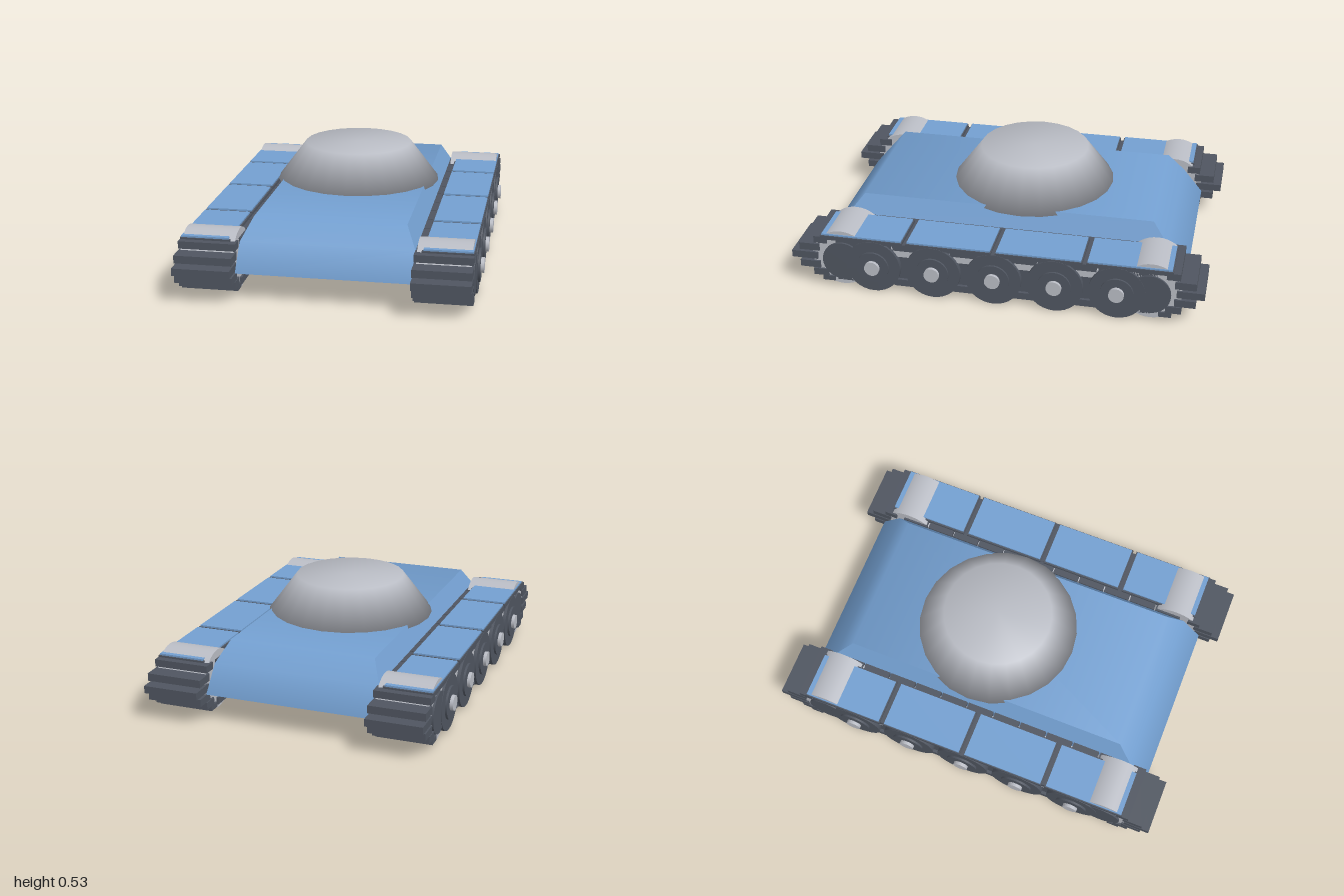
import * as THREE from 'three';

const mat = (name, color) => {
  const m = new THREE.MeshStandardMaterial({ color });
  m.name = name;
  return m;
};

export function createModel() {
  const blue = mat('blue paint', 0x739fd0);
  const grey = mat('light grey metal', 0xb9bcc4);
  const dark = mat('dark track metal', 0x4f5560);
  const model = new THREE.Group();
  model.name = 'tank';

  const add = (parent, name, geo, material) => {
    const m = new THREE.Mesh(geo, material);
    m.name = name;
    parent.add(m);
    return m;
  };
  // box from min/max ranges; x is mirrored by s
  const box = (parent, name, material, s, x0, x1, y0, y1, z0, z1) => {
    const g = new THREE.BoxGeometry(x1 - x0, y1 - y0, z1 - z0);
    g.translate(s * (x0 + x1) / 2, (y0 + y1) / 2, (z0 + z1) / 2);
    return add(parent, name, g, material);
  };
  // cylinder lying along x
  const roller = (parent, name, material, s, x0, x1, r, y, z, seg = 32) => {
    const g = new THREE.CylinderGeometry(r, r, x1 - x0, seg);
    g.rotateZ(Math.PI / 2);
    g.translate(s * (x0 + x1) / 2, y, z);
    return add(parent, name, g, material);
  };

  // hull cross-sections from front to back: half width, y, z, normal tilt in degrees
  const rows = [
    [0.41, 0.14, 0.9, 75], [0.41, 0.26, 0.8, 48], [0.36, 0.36, 0.72, 26],
    [0.36, 0.36, -0.72, -26], [0.41, 0.26, -0.8, -48], [0.41, 0.14, -0.9, -75],
  ];
  const pos = [], nor = [], idx = [];
  rows.forEach(([w, y, z, tilt], i) => {
    const a = THREE.MathUtils.degToRad(tilt);
    pos.push(-w, y, z, w, y, z);
    for (let k = 0; k < 2; k++) nor.push(0, Math.cos(a), Math.sin(a));
    const b = i * 2;
    if (i < 5) idx.push(b, b + 1, b + 3, b, b + 3, b + 2);
  });
  const deck = new THREE.BufferGeometry();
  deck.setAttribute('position', new THREE.Float32BufferAttribute(pos, 3));
  deck.setAttribute('normal', new THREE.Float32BufferAttribute(nor, 3));
  deck.setIndex(idx);
  add(model, 'hullDeck', deck, blue);

  // flat hull sides and floor
  const flat = [];
  const corner = (i, s) => [s * rows[i][0], rows[i][1], rows[i][2]];
  const quad = (a, b, c, d) => [a, b, c, a, c, d].forEach(p => flat.push(...p));
  for (const [a, b, c, d] of [[0, 5, 4, 1], [1, 4, 3, 2]]) {
    quad(corner(a, 1), corner(b, 1), corner(c, 1), corner(d, 1));
    quad(corner(d, -1), corner(c, -1), corner(b, -1), corner(a, -1));
  }
  quad(corner(0, 1), corner(0, -1), corner(5, -1), corner(5, 1));
  const shell = new THREE.BufferGeometry();
  shell.setAttribute('position', new THREE.Float32BufferAttribute(flat, 3));
  shell.computeVertexNormals();
  add(model, 'hullSidesAndFloor', shell, blue);

  // turret with soft shading over its rim
  const turretProfile = [[0, 0.345], [0.413, 0.345], [0.27, 0.535], [0, 0.535]]
    .map(([r, y]) => new THREE.Vector2(r, y));
  add(model, 'turret', new THREE.LatheGeometry(turretProfile, 24), grey).position.z = -0.07;

  for (const s of [1, -1]) {
    const side = new THREE.Group();
    side.name = s > 0 ? 'leftTrack' : 'rightTrack';
    model.add(side);

    // track body
    box(side, 'trackCore', dark, s, 0.425, 0.655, 0.06, 0.2, -0.78, 0.78);
    box(side, 'trackUpperBand', grey, s, 0.425, 0.665, 0.2, 0.245, -0.78, 0.78);

    // upper and lower runs of pads
    for (let i = -5; i <= 5; i++) {
      const z = i * 0.142;
      box(side, 'upperPad', dark, s, 0.41, 0.67, 0.235, 0.27, z - 0.067, z + 0.067);
      box(side, 'lowerPad', dark, s, 0.41, 0.67, 0.04, 0.075, z - 0.067, z + 0.067);
    }

    for (const e of [1, -1]) {
      // end rollers
      roller(side, 'endRoller', grey, s, 0.42, 0.67, 0.145, 0.165, e * 0.75, 40);
      roller(side, 'endRollerDisc', dark, s, 0.6, 0.68, 0.1, 0.15, e * 0.745);
      // pads wrapped round the ends: y range, inner and outer z
      for (const [y0, y1, z0, z1] of [
        [0.24, 0.275, 0.82, 0.885], [0.195, 0.232, 0.86, 0.96], [0.148, 0.184, 0.87, 1.0],
        [0.1, 0.136, 0.86, 0.96], [0.06, 0.095, 0.82, 0.895], [0.035, 0.06, 0.79, 0.85],
      ]) {
        const [a, b] = e > 0 ? [z0, z1] : [-z1, -z0];
        box(side, 'endPad', dark, s, 0.41, 0.68, y0, y1, a, b);
      }
    }

    // road wheels
    for (let i = -2; i <= 2; i++) {
      const wheel = new THREE.Group();
      wheel.name = 'roadWheel';
      side.add(wheel);
      const z = i * 0.296;
      roller(wheel, 'tyre', dark, s, 0.45, 0.682, 0.135, 0.14, z);
      roller(wheel, 'wheelDisc', dark, s, 0.68, 0.692, 0.08, 0.14, z);
      roller(wheel, 'hubCap', grey, s, 0.69, 0.708, 0.037, 0.14, z, 20);
    }

    // fender panels with dark frames
    for (const [z0, z1] of [[-0.845, -0.45], [-0.42, -0.015], [0.015, 0.42], [0.45, 0.845]]) {
      box(side, 'fenderFrame', dark, s, 0.442, 0.68, 0.262, 0.283, z0 - 0.006, z1 + 0.006);
      box(side, 'fenderPanel', blue, s, 0.45, 0.675, 0.283, 0.291, z0, z1);
    }
  }
  return model;
}
